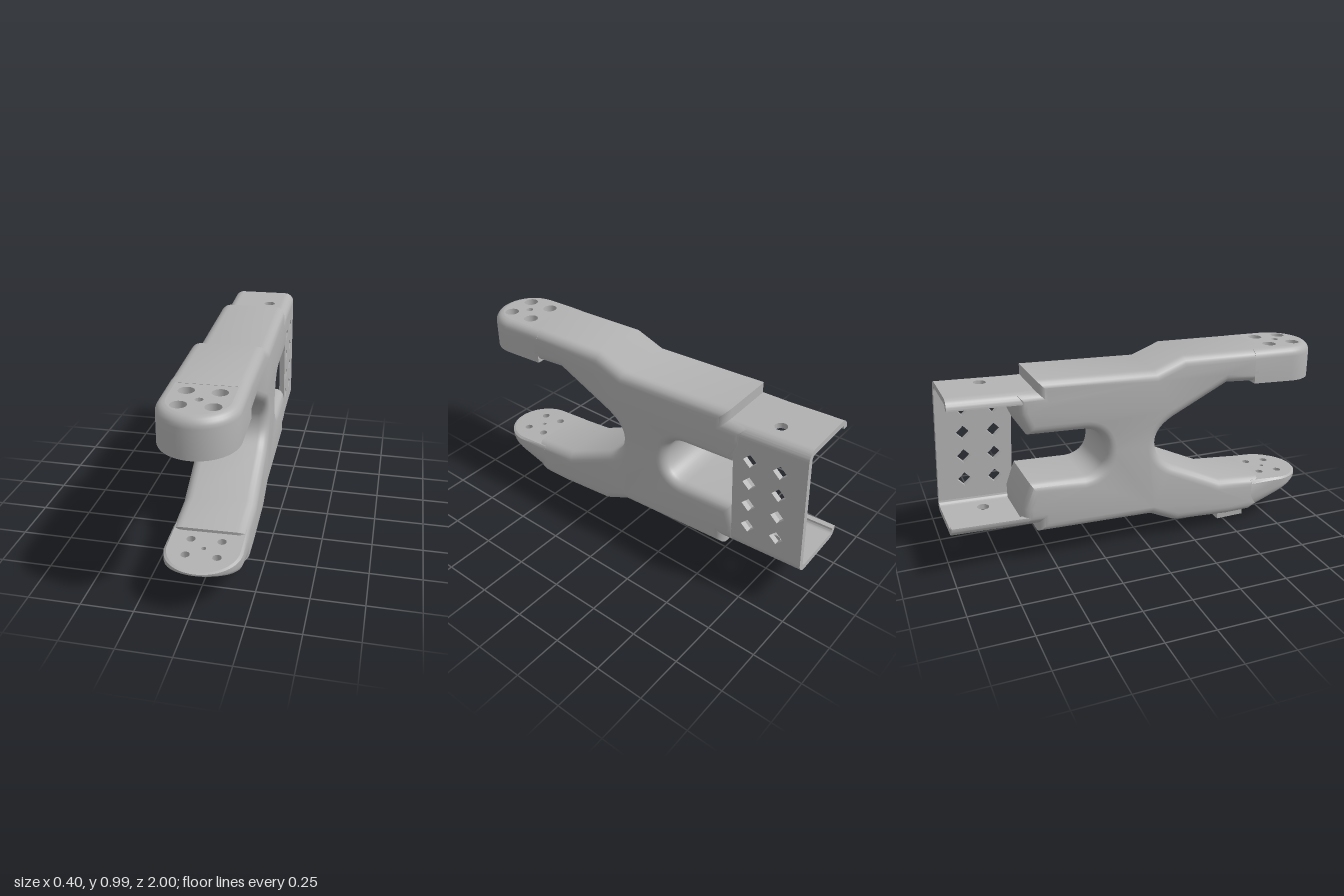
import * as THREE from 'three';
import { toCreasedNormals } from 'three/addons/utils/BufferGeometryUtils.js';

const grey = new THREE.MeshStandardMaterial({ color: 0xb2b2b2, side: THREE.DoubleSide });
grey.name = 'grey';

function add(parent, name, geometry, crease = 0.6) {
  const mesh = new THREE.Mesh(toCreasedNormals(geometry, crease), grey);
  mesh.name = name;
  parent.add(mesh);
  return mesh;
}

// Extrude a side profile (drawn in -z, y) across the width
function acrossX(shape, x0, x1, bevel = 0) {
  const g = new THREE.ExtrudeGeometry(shape, {
    depth: x1 - x0 - 2 * bevel, curveSegments: 12, bevelEnabled: bevel > 0,
    bevelThickness: bevel, bevelSize: bevel, bevelOffset: -bevel, bevelSegments: 5,
  });
  return g.translate(0, 0, x0 + bevel).rotateY(Math.PI / 2);
}

function circleHole(shape, x, y, r) {
  shape.holes.push(new THREE.Path().absarc(x, y, r, 0, Math.PI * 2, true));
}

// X-shaped frame: two arms in front, a web, and two prongs behind
function frameShape() {
  const s = new THREE.Shape();
  const line = (...pts) => pts.forEach(([z, y]) => s.lineTo(-z, y));
  const bend = (cz, cy, z, y) => s.quadraticCurveTo(-cz, cy, -z, y);
  s.moveTo(-0.67, 0.97);
  line([0.67, 0.797], [0.45, 0.815], [0.17, 0.682]);
  bend(0.055, 0.63, 0.055, 0.55);
  bend(0.055, 0.455, 0.16, 0.405);
  line([0.43, 0.275], [0.67, 0.252], [0.67, 0.085], [0.62, 0.06], [0.48, 0.06],
    [0.17, 0.085], [0.03, 0.15], [-0.575, 0.175], [-0.575, 0.225], [-0.65, 0.228],
    [-0.65, 0.32], [-0.605, 0.443], [-0.33, 0.43]);
  bend(-0.215, 0.435, -0.213, 0.55);
  bend(-0.215, 0.67, -0.33, 0.678);
  line([-0.605, 0.692], [-0.65, 0.8], [-0.65, 0.902], [-0.55, 0.9], [-0.55, 0.955],
    [0.05, 0.93], [0.2, 0.985]);
  s.closePath();
  return s;
}

// Round-nosed pad: stacked plan outlines, pierced caps and hole walls.
// levels are [t, inset]; yAt(t, z) turns t into a height.
function pad(parent, name, { zc, z0, levels, yAt, holes, topScale, bottomScale }) {
  const R = 0.18, N = 28;
  const group = new THREE.Group();
  group.name = name;
  parent.add(group);
  const outline = (inset) => {
    const pts = [];
    for (let i = 0; i <= N; i++) {
      const a = (i / N) * Math.PI;
      pts.push([Math.cos(a) * (R - inset), zc + Math.sin(a) * (R - inset)]);
    }
    pts.push([inset - R, z0], [R - inset, z0]);
    return pts;
  };
  const pos = [], idx = [], n = N + 3;
  levels.forEach(([t, inset], k) => {
    outline(inset).forEach(([x, z]) => pos.push(x, yAt(t, z), z));
    if (k === 0) return;
    for (let j = 0; j < n; j++) {
      const a = (k - 1) * n + j, b = (k - 1) * n + ((j + 1) % n);
      idx.push(a, a + n, b, b, a + n, b + n);
    }
  });
  const wall = new THREE.BufferGeometry();
  wall.setAttribute('position', new THREE.Float32BufferAttribute(pos, 3));
  wall.setIndex(idx);
  add(group, 'padRim', wall);

  const reshape = (g, f) => {
    const p = g.attributes.position;
    for (let i = 0; i < p.count; i++) p.setXYZ(i, ...f(p.getX(i), p.getY(i), p.getZ(i)));
    return g;
  };
  [[0, levels[0][1], bottomScale], [1, levels.at(-1)[1], topScale]].forEach(([t, inset, scale]) => {
    const s = new THREE.Shape(outline(inset).map(([x, z]) => new THREE.Vector2(x, -z)));
    holes.forEach(([x, z, r]) => circleHole(s, x, -z, r * scale));
    const g = reshape(new THREE.ShapeGeometry(s, 10), (x, y) => [x, yAt(t, -y), -y]);
    if (t === 0) g.index.array.reverse();
    add(group, t ? 'padTop' : 'padUnderside', g);
  });
  holes.forEach(([hx, hz, r]) => {
    const g = new THREE.CylinderGeometry(r * topScale, r * bottomScale, 1, 20, 1, true);
    reshape(g, (x, y, z) => [x + hx, yAt(y + 0.5, z + hz), z + hz]);
    g.index.array.reverse();
    add(group, 'holeWall', g);
  });
}

// Open-sided bracket at the back with a pierced side wall
function bracket(parent) {
  const g = new THREE.Group();
  g.name = 'rearBracket';
  g.position.set(0, 0.569, -0.78);
  g.rotation.x = 0.045;
  parent.add(g);
  const W = 0.175, H = 0.341, r = 0.05, th = 0.028, back = -0.203, front = 0.235;

  const wall = new THREE.Shape();
  wall.moveTo(-0.172, r - H);
  wall.lineTo(-back, r - H);
  wall.lineTo(-back, H - r);
  wall.lineTo(-0.172, H - r);
  wall.closePath();
  const d = 0.036;
  for (const z of [0.083, -0.07]) {
    for (const y of [0.186, 0.061, -0.063, -0.188]) {
      const hole = new THREE.Path();
      hole.moveTo(-z - d, y);
      hole.lineTo(-z, y + d);
      hole.lineTo(-z + d, y);
      hole.lineTo(-z, y - d);
      hole.closePath();
      wall.holes.push(hole);
    }
  }
  add(g, 'sideWall', acrossX(wall, W - th, W));

  for (const sy of [1, -1]) {
    // Flat plate with a screw hole
    const plate = new THREE.Shape();
    plate.moveTo(r - W, -front);
    plate.lineTo(W - r, -front);
    plate.lineTo(W - r, -back);
    plate.lineTo(r - W, -back);
    plate.closePath();
    circleHole(plate, 0.06, 0, 0.03);
    const pg = new THREE.ExtrudeGeometry(plate, { depth: th, bevelEnabled: false });
    pg.rotateX(-Math.PI / 2).translate(0, sy > 0 ? H - th : -H, 0);
    add(g, sy > 0 ? 'topPlate' : 'bottomPlate', pg);
    // Rounded corners; on the open side they form short lips
    for (const sx of [1, -1]) {
      const mid = Math.atan2(sy, sx);
      const c = new THREE.Shape();
      c.absarc(0, 0, r, mid - Math.PI / 4, mid + Math.PI / 4, false);
      c.absarc(0, 0, r - th, mid + Math.PI / 4, mid - Math.PI / 4, true);
      c.closePath();
      const cg = new THREE.ExtrudeGeometry(c, { depth: front - back, bevelEnabled: false, curveSegments: 8 });
      cg.translate(sx * (W - r), sy * (H - r), back);
      add(g, 'bracketCorner', cg);
    }
  }
}

export function createModel() {
  const model = new THREE.Group();
  model.name = 'clampFrame';
  const body = new THREE.Group();
  body.name = 'body';
  body.rotation.y = 0.025;
  model.add(body);

  add(body, 'frame', acrossX(frameShape(), -0.18, 0.18, 0.05));
  bracket(body);

  const holesAt = (z1, z2, zMid, r) => [[0, zMid, 0.018],
    ...[z1, z2].flatMap((z) => [-0.072, 0.072].map((x) => [x, z, r]))];
  const arc = [0, 1, 2, 3, 4, 5].map((i) => (i / 5) * Math.PI / 2);

  // Upper pad: sharp lower edge, rounded top
  pad(body, 'upperPad', {
    zc: 0.82, z0: 0.6,
    levels: [[0, 0], ...arc.map((a) => [0.75 + 0.25 * Math.sin(a), 0.042 * (1 - Math.cos(a))])],
    yAt: (t, z) => {
      const low = 0.776 + 0.055 * (1 - z), high = 0.959 + 0.03 * (1 - z);
      return low + (high - low) * t;
    },
    holes: holesAt(0.74, 0.88, 0.82, 0.036), topScale: 1, bottomScale: 0.6,
  });

  // Lower pad: underside rises to a thin nose
  pad(body, 'lowerPad', {
    zc: 0.79, z0: 0.62,
    levels: [...arc.map((a) => [0.5 * (1 - Math.cos(a)), 0.05 * (1 - Math.sin(a))]), [0.9, 0], [1, 0.012]],
    yAt: (t, z) => {
      const low = 0.06 + 0.4 * (z - 0.62), high = 0.217 + 0.07 * (0.97 - z);
      return low + (high - low) * t;
    },
    holes: holesAt(0.73, 0.845, 0.79, 0.032), topScale: 0.65, bottomScale: 1,
  });

  // Two slanted feet under the lower arm
  [[[-0.095, 0.08], [-0.092, 0.002], [-0.02, 0.002], [-0.014, 0.08]],
    [[0.014, 0.08], [0.016, 0.02], [0.03, 0], [0.068, 0.002], [0.105, 0.06], [0.1, 0.08]]]
    .forEach((pts) => {
      const s = new THREE.Shape(pts.map(([x, y]) => new THREE.Vector2(x, y)));
      const g = new THREE.ExtrudeGeometry(s, { depth: 0.155, bevelEnabled: false });
      add(body, 'foot', g.translate(0, 0, 0.465));
    });
  return model;
}
